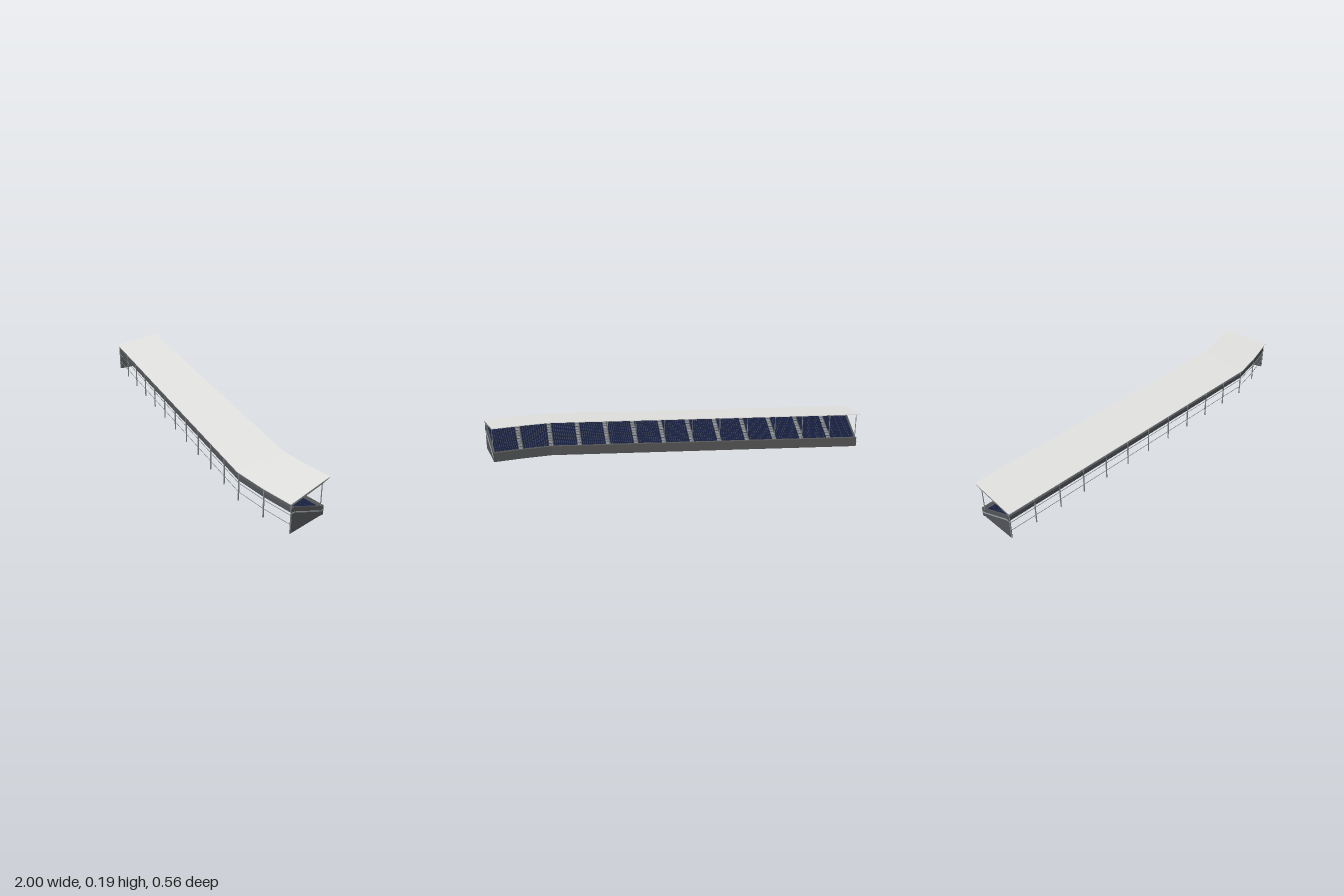
import * as THREE from 'three';
import { mergeGeometries } from 'three/addons/utils/BufferGeometryUtils.js';

const BAYS = 13, DEPTH = 0.256;
// Plan of the stand: frame number, rear roof edge [x, z], track-side roof edge [x, z]
const PLAN = [
  { t: 0, b: [-1, -0.026], f: [-0.955, -0.28] },
  { t: 11, b: [0.655, 0.278], f: [0.668, 0.017] },
  { t: 12, b: [0.83, 0.27], f: [0.825, 0.009] },
  { t: 13, b: [1, 0.25], f: [0.966, -0.006] },
];

// Point at frame t, depth d from the rear roof edge, height y
function place(t, d, y) {
  const i = t < 11 ? 0 : t < 12 ? 1 : 2;
  const p = PLAN[i], q = PLAN[i + 1], k = (t - p.t) / (q.t - p.t), s = d / DEPTH;
  const mix = (a, b, r) => a + (b - a) * r;
  const [x, z] = [0, 1].map((c) => mix(mix(p.b[c], q.b[c], k), mix(p.f[c], q.f[c], k), s));
  return [x, y, z];
}

// Sweeps a [depth, height] outline along the plan from frame t0 to t1
function sweep(outline, t0, t1) {
  let pts = outline.map(([d, y]) => new THREE.Vector2(d, y));
  if (THREE.ShapeUtils.area(pts) < 0) pts = pts.reverse();
  const stations = [t0, ...[11, 12].filter((t) => t > t0 + 1e-4 && t < t1 - 1e-4), t1];
  const pos = [];
  const tri = (...corners) => corners.forEach(([t, p]) => pos.push(...place(t, p.x, p.y)));
  for (let s = 0; s + 1 < stations.length; s++) {
    const a = stations[s], b = stations[s + 1];
    pts.forEach((p, i) => {
      const q = pts[(i + 1) % pts.length];
      tri([a, p], [a, q], [b, q]);
      tri([a, p], [b, q], [b, p]);
    });
  }
  for (const [i, j, k] of THREE.ShapeUtils.triangulateShape(pts, [])) {
    tri([t1, pts[i]], [t1, pts[j]], [t1, pts[k]]);
    tri([t0, pts[i]], [t0, pts[k]], [t0, pts[j]]);
  }
  const g = new THREE.BufferGeometry();
  g.setAttribute('position', new THREE.Float32BufferAttribute(pos, 3));
  g.computeVertexNormals();
  return g;
}

const rect = (d0, d1, y0, y1) => [[d0, y0], [d1, y0], [d1, y1], [d0, y1]];

export function createModel() {
  const model = new THREE.Group();
  model.name = 'grandstand';
  const mat = (name, color) => Object.assign(new THREE.MeshStandardMaterial({ color }), { name });
  const roofGrey = mat('roof sheet', 0xe2e2e1);
  const steel = mat('steel', 0x838989);
  const concrete = mat('concrete', 0x515458);
  const darkConcrete = mat('dark concrete', 0x545556);
  const terraceGrey = mat('terrace', 0x5a5c60);
  const navy = mat('seat navy', 0x1b2447);
  const stairGrey = mat('stair', 0x95989a);
  const add = (name, material, ...geos) => {
    const mesh = new THREE.Mesh(mergeGeometries(geos), material);
    mesh.name = name;
    model.add(mesh);
  };
  const frames = Array.from({ length: BAYS + 1 }, (_, i) => Math.min(Math.max(i, 0.03), BAYS - 0.03));
  const atFrames = (outline, half) => frames.map((t) => sweep(outline, t - half, t + half));

  // Sloping roof
  add('roof', roofGrey, sweep([[0, 0.157], [DEPTH, 0.188], [DEPTH, 0.191], [0, 0.16]], 0, BAYS));

  // Tapered roof beams
  add('roofBeams', steel, ...atFrames(
    [[0.004, 0.153], [0.012, 0.148], [0.21, 0.174], [0.252, 0.185], [0.252, 0.188], [0.004, 0.158]], 0.026));

  // Posts behind and in front of the seating
  add('rearPosts', steel, ...atFrames(rect(0.007, 0.013, 0, 0.153), 0.011));
  add('frontPosts', steel, ...atFrames(rect(0.208, 0.212, 0.028, 0.177), 0.01));
  add('rearRails', steel, ...[0.047, 0.095].map((y) =>
    sweep(rect(0.009, 0.011, y - 0.001, y + 0.001), 0.03, BAYS - 0.03)));

  // Rear parapet and front wall
  add('rearParapet', concrete, sweep(rect(0.009, 0.025, 0.11, 0.135), 0.01, BAYS - 0.01));
  add('frontWall', darkConcrete, sweep(rect(0.215, 0.23, 0, 0.049), 0.01, BAYS - 0.01));

  // End walls with a pale ledge following the rake
  const wall = [[0.0125, 0], [0.215, 0], [0.215, 0.05], [0.026, 0.134], [0.0125, 0.134]];
  const ledge = [[0.0125, 0.106], [0.025, 0.106], [0.212, 0.0235], [0.229, 0.0235],
    [0.229, 0.028], [0.213, 0.028], [0.026, 0.111], [0.0125, 0.111]];
  add('endWalls', concrete, sweep(wall, 0.02, 0.07), sweep(wall, BAYS - 0.07, BAYS - 0.02));
  add('endLedges', stairGrey, sweep(ledge, -0.005, 0.02), sweep(ledge, BAYS - 0.02, BAYS + 0.005));

  // Stepped terrace on a sloping slab
  const ROWS = 9, tread = 0.0205, rise = 0.0083;
  const rowDepth = (r) => 0.025 + r * tread, rowY = (r) => 0.112 - r * rise;
  const steps = [];
  for (let r = 0; r < ROWS; r++) steps.push([rowDepth(r), rowY(r)], [rowDepth(r + 1), rowY(r)]);
  add('terraceSteps', terraceGrey, sweep(
    [...steps, [0.215, rowY(ROWS - 1)], [0.215, 0.0285], [0.025, 0.1095]], 0.07, BAYS - 0.07));
  add('terraceUnderside', darkConcrete, sweep(
    [[0.025, 0.1095], [0.215, 0.0285], [0.215, 0.0255], [0.025, 0.1065]], 0.07, BAYS - 0.07));

  // Seats in every row, leaving an aisle at each frame
  const seats = [], stairs = [], PER_BAY = 12;
  for (let r = 0; r < ROWS; r++) {
    const d = rowDepth(r) + 0.002, y = rowY(r);
    const seat = [[d, y], [d + 0.013, y], [d + 0.013, y + 0.005], [d + 0.003, y + 0.005],
      [d + 0.002, y + 0.011], [d, y + 0.011]];
    for (let bay = 0; bay < BAYS; bay++) {
      for (let i = 0; i < PER_BAY; i++) {
        const t = bay + 0.08 + (i * 0.84) / PER_BAY;
        seats.push(sweep(seat, t, t + 0.058));
      }
      if (bay > 0) {
        stairs.push(sweep(rect(rowDepth(r), rowDepth(r + 1), y, y + 0.001), bay - 0.06, bay + 0.06),
          sweep(rect(rowDepth(r), rowDepth(r) + 0.009, y, y + rise / 2), bay - 0.06, bay + 0.06));
      }
    }
  }
  add('seats', navy, ...seats);
  add('aisleStairs', stairGrey, ...stairs);
  return model;
}
